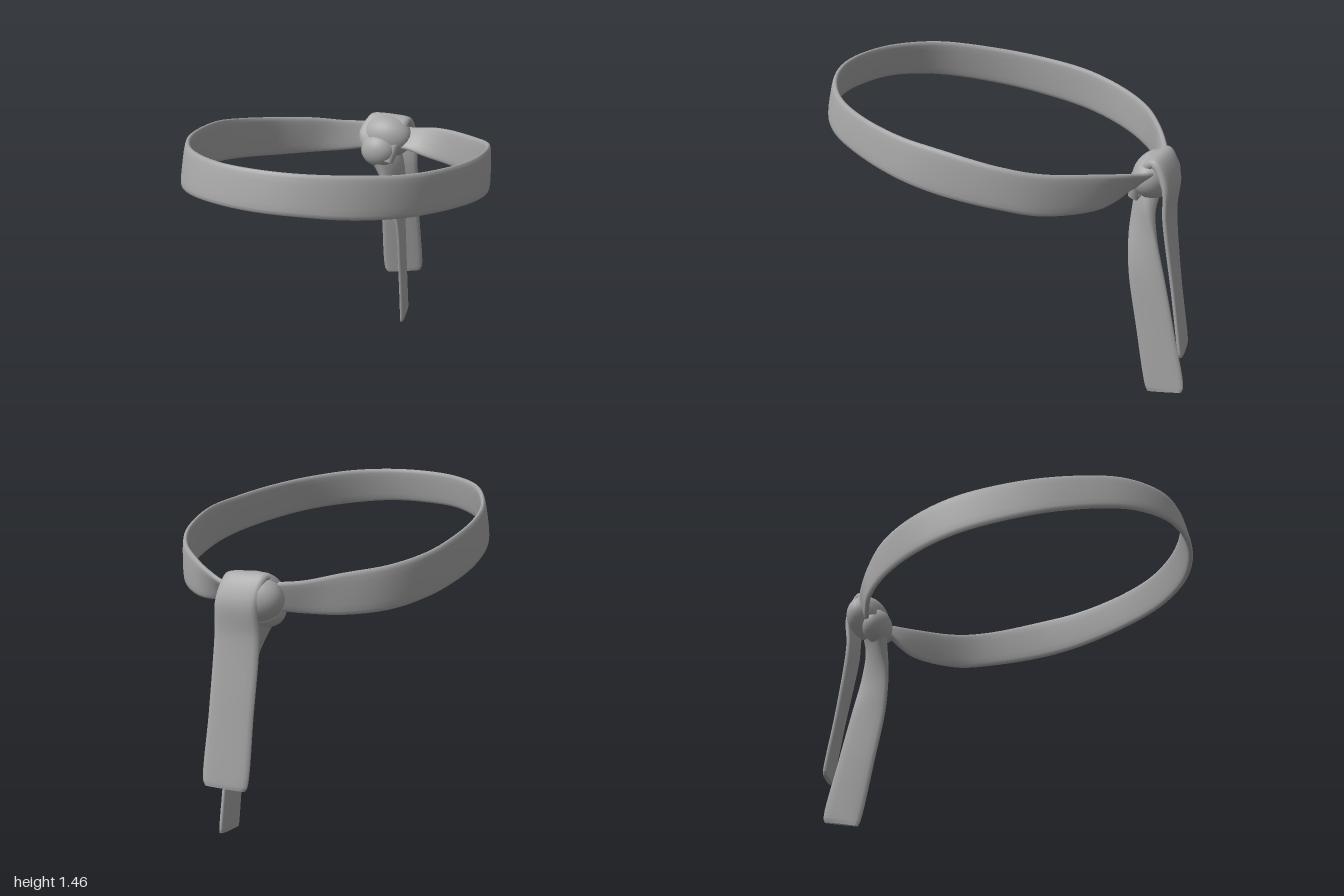
import * as THREE from 'three';

const cloth = new THREE.MeshStandardMaterial({ color: 0xa8a8a8 });
cloth.name = 'grey cloth';

// Lofts a rounded strip through sections [edgeA, edgeB, thickness].
function strip(name, sections, steps) {
  const vec = (p) => new THREE.Vector3(...p);
  const curveA = new THREE.CatmullRomCurve3(sections.map((s) => vec(s[0])));
  const curveB = new THREE.CatmullRomCurve3(sections.map((s) => vec(s[1])));
  const curveT = new THREE.CatmullRomCurve3(sections.map((s, i) => new THREE.Vector3(i, s[2], 0)));
  const sides = 16;
  const mid = (t) => curveA.getPoint(t).add(curveB.getPoint(t)).multiplyScalar(0.5);
  const round = (v, p) => Math.sign(v) * Math.abs(v) ** p;
  const pos = [];
  const index = [];

  for (let i = 0; i <= steps; i++) {
    const t = i / steps;
    const centre = mid(t);
    const across = curveB.getPoint(t).sub(curveA.getPoint(t)).multiplyScalar(0.5);
    const along = mid(Math.min(1, t + 0.005)).sub(mid(Math.max(0, t - 0.005)));
    const normal = along.cross(across).normalize().multiplyScalar(curveT.getPoint(t).y / 2);
    for (let j = 0; j < sides; j++) {
      const a = (j / sides) * Math.PI * 2;
      const p = centre.clone()
        .addScaledVector(across, round(Math.cos(a), 0.7))
        .addScaledVector(normal, round(Math.sin(a), 0.5));
      pos.push(p.x, p.y, p.z);
    }
  }
  for (let i = 0; i < steps; i++) {
    for (let j = 0; j < sides; j++) {
      const k = (j + 1) % sides;
      const a = i * sides + j, b = i * sides + k;
      index.push(a, b, a + sides, b, b + sides, a + sides);
    }
  }
  // End caps with their own vertices, so the ends stay crisp
  for (const [ring, flip] of [[0, true], [steps, false]]) {
    const start = pos.length / 3;
    for (let j = 0; j < sides; j++) pos.push(...pos.slice((ring * sides + j) * 3, (ring * sides + j) * 3 + 3));
    for (let j = 1; j < sides - 1; j++) {
      index.push(start, start + (flip ? j + 1 : j), start + (flip ? j : j + 1));
    }
  }
  const geo = new THREE.BufferGeometry();
  geo.setAttribute('position', new THREE.Float32BufferAttribute(pos, 3));
  geo.setIndex(index);
  geo.computeVertexNormals();
  const mesh = new THREE.Mesh(geo, cloth);
  mesh.name = name;
  return mesh;
}

function lump(name, centre, radii) {
  const mesh = new THREE.Mesh(new THREE.SphereGeometry(1, 32, 20), cloth);
  mesh.position.set(...centre);
  mesh.scale.set(...radii);
  mesh.name = name;
  return mesh;
}

export function createModel() {
  const group = new THREE.Group();
  group.name = 'knottedHeadband';

  // Band: x, z, bottom y, top y, inward lean of the top edge
  const band = [
    [-0.06, -0.75, 1.08, 1.17, -0.10],
    [0.04, -0.735, 1.08, 1.18, -0.10],
    [0.14, -0.715, 1.06, 1.205, -0.07],
    [0.28, -0.66, 1.045, 1.23, -0.02],
    [0.49, -0.505, 1.055, 1.26, 0],
    [0.60, -0.35, 1.085, 1.295, 0],
    [0.69, -0.08, 1.125, 1.345, 0.01],
    [0.705, 0.15, 1.16, 1.365, 0.02],
    [0.655, 0.43, 1.20, 1.395, 0.02],
    [0.56, 0.65, 1.23, 1.42, 0.03],
    [0.40, 0.825, 1.255, 1.445, 0.04],
    [0.20, 0.93, 1.275, 1.457, 0.04],
    [0, 0.96, 1.278, 1.46, 0.04],
    [-0.20, 0.93, 1.275, 1.457, 0.04],
    [-0.41, 0.80, 1.25, 1.445, 0.04],
    [-0.585, 0.55, 1.205, 1.41, 0.03],
    [-0.675, 0.30, 1.165, 1.38, 0.02],
    [-0.712, 0.03, 1.125, 1.345, 0.01],
    [-0.685, -0.20, 1.085, 1.30, 0],
    [-0.60, -0.39, 1.055, 1.265, 0],
    [-0.46, -0.545, 1.045, 1.24, 0],
    [-0.32, -0.65, 1.05, 1.21, -0.03],
    [-0.22, -0.71, 1.06, 1.20, -0.04],
    [-0.12, -0.74, 1.07, 1.18, -0.04],
  ];
  group.add(strip('band', band.map(([x, z, yb, yt, lean]) => {
    const k = lean / 2 / Math.hypot(x, z);
    return [[x * (1 + k), yb, z * (1 + k)], [x * (1 - k), yt, z * (1 - k)], 0.03];
  }), 120));

  // Knot core
  const knot = new THREE.Group();
  knot.name = 'knot';
  knot.add(lump('knotCore', [-0.115, 1.125, -0.745], [0.15, 0.115, 0.1]));
  knot.add(lump('knotFold', [-0.13, 1.06, -0.68], [0.1, 0.09, 0.075]));
  group.add(knot);

  // Wrap that runs up the knot, over the top and down as the short back tail
  group.add(strip('backTail', [
    [[-0.19, 1.03, -0.65], [-0.04, 1.0, -0.66], 0.07],
    [[-0.25, 1.14, -0.69], [0.0, 1.13, -0.71], 0.07],
    [[-0.21, 1.225, -0.76], [0.01, 1.215, -0.79], 0.05],
    [[-0.19, 1.12, -0.825], [0.02, 1.12, -0.86], 0.04],
    [[-0.19, 0.95, -0.815], [0.02, 0.95, -0.875], 0.035],
    [[-0.185, 0.6, -0.86], [0.015, 0.6, -0.935], 0.03],
    [[-0.185, 0.27, -0.915], [0.015, 0.29, -0.988], 0.03],
    [[-0.175, 0.25, -0.92], [0.005, 0.265, -0.988], 0.026],
  ], 70));

  // Long twisted tail hanging from the lower front of the knot
  group.add(strip('frontTail', [
    [[-0.19, 1.07, -0.63], [-0.06, 1.09, -0.78], 0.1],
    [[-0.12, 0.96, -0.64], [-0.03, 0.98, -0.78], 0.07],
    [[-0.055, 0.83, -0.645], [-0.03, 0.83, -0.81], 0.035],
    [[-0.015, 0.65, -0.67], [-0.045, 0.65, -0.85], 0.028],
    [[-0.015, 0.35, -0.725], [-0.06, 0.35, -0.915], 0.028],
    [[-0.025, 0.03, -0.785], [-0.07, 0.06, -0.975], 0.028],
    [[-0.03, 0.003, -0.795], [-0.065, 0.035, -0.97], 0.024],
  ], 60));

  return group;
}
